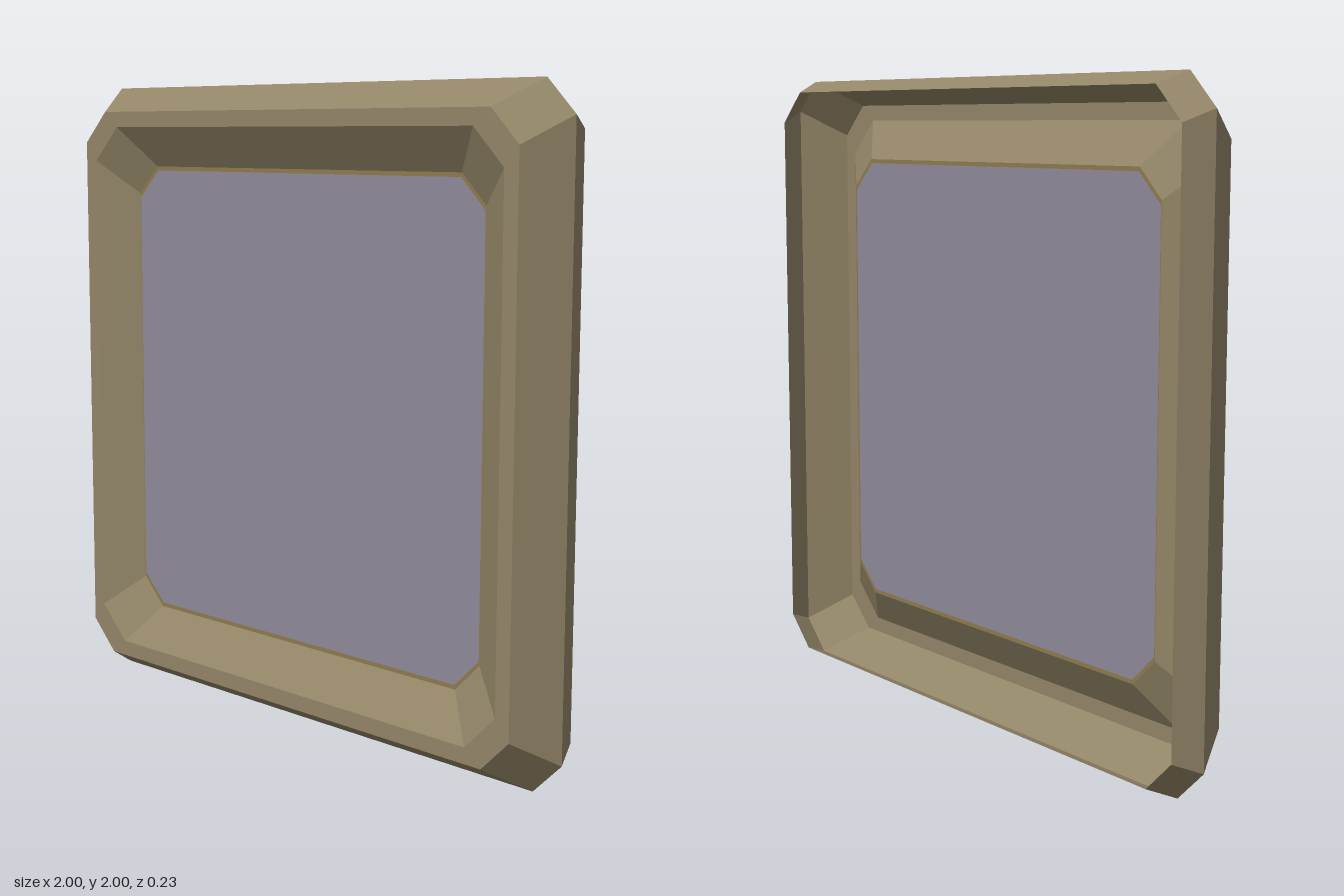
import * as THREE from 'three';

const frameMat = new THREE.MeshStandardMaterial({ color: 0x928567, flatShading: true, side: THREE.DoubleSide });
frameMat.name = 'frame tan';
const lipMat = new THREE.MeshStandardMaterial({ color: 0x8c7a4c, flatShading: true, side: THREE.DoubleSide });
lipMat.name = 'lip ochre';
const paneMat = new THREE.MeshStandardMaterial({ color: 0x8e8998, flatShading: true, side: THREE.DoubleSide });
paneMat.name = 'pane grey violet';

// Square with cut corners, counter-clockwise from the front
function ring(w, h, cut, z) {
  return [
    [w, cut - h], [w, h - cut], [w - cut, h], [cut - w, h],
    [-w, h - cut], [-w, cut - h], [cut - w, -h], [w - cut, -h],
  ].map(([x, y]) => new THREE.Vector3(x, y + 1, z));
}

// Skin a series of rings with flat quads
function loft(name, rings, material) {
  const points = [];
  for (let r = 0; r < rings.length - 1; r++) {
    const a = rings[r], b = rings[r + 1];
    for (let i = 0; i < a.length; i++) {
      const j = (i + 1) % a.length;
      points.push(a[i], a[j], b[j], a[i], b[j], b[i]);
    }
  }
  const geometry = new THREE.BufferGeometry().setFromPoints(points);
  geometry.computeVertexNormals();
  const mesh = new THREE.Mesh(geometry, material);
  mesh.name = name;
  return mesh;
}

export function createModel() {
  const model = new THREE.Group();
  model.name = 'framedWindow';

  const backEdge = ring(0.963, 0.963, 0.1, -0.113);
  const widest = ring(1, 1, 0.1, -0.025);
  const frontOuter = ring(0.92, 0.92, 0.1, 0.113);
  const frontInner = ring(0.87, 0.87, 0.11, 0.113);
  const paneEdge = ring(0.743, 0.743, 0.09, 0.03);
  const lipEdge = ring(0.74, 0.73, 0.09, 0.03);

  // Thin frame shell, open at the back
  model.add(loft('outerSides', [backEdge, widest, frontOuter], frameMat));
  model.add(loft('frontRim', [frontOuter, frontInner], frameMat));
  model.add(loft('innerBevel', [frontInner, paneEdge], frameMat));
  model.add(loft('paneLip', [paneEdge, lipEdge], lipMat));

  // Flat pane filling the opening
  const outline = new THREE.Shape(lipEdge.map((p) => new THREE.Vector2(p.x, p.y)));
  const pane = new THREE.Mesh(new THREE.ShapeGeometry(outline), paneMat);
  pane.name = 'pane';
  pane.position.z = 0.03;
  model.add(pane);

  return model;
}
